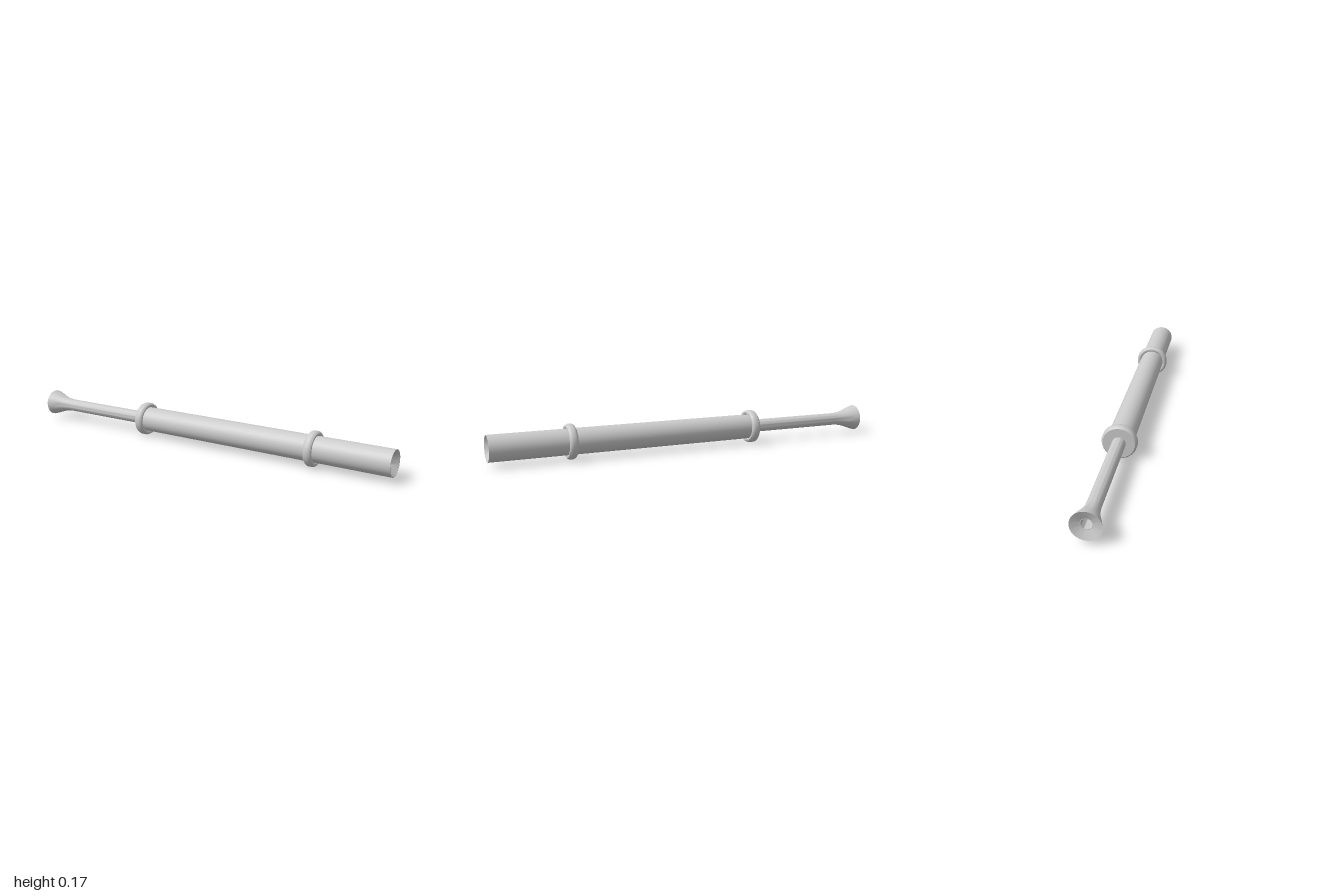
import * as THREE from 'three';
import { toCreasedNormals } from 'three/addons/utils/BufferGeometryUtils.js';

const AXIS_Y = 0.084;

export function createModel() {
  const model = new THREE.Group();
  const material = new THREE.MeshStandardMaterial({ color: 0xcccccc });

  // Turned part along x; profile is a list of [x, radius]
  function turned(name, profile, sides, phase = 0) {
    const points = profile.map(([x, r]) => new THREE.Vector2(r, x));
    const lathe = new THREE.LatheGeometry(points, sides, phase);
    const mesh = new THREE.Mesh(toCreasedNormals(lathe, 0.6), material);
    mesh.name = name;
    mesh.rotation.z = -Math.PI / 2;
    mesh.position.y = AXIS_Y;
    model.add(mesh);
  }

  // Thin stem with a flared, slightly dished end and a bore
  turned('flaredStem', [
    [-0.985, 0.027], [-1, 0.067], [-0.97, 0.058], [-0.94, 0.047],
    [-0.91, 0.038], [-0.885, 0.034], [-0.86, 0.032], [-0.34, 0.032],
  ], 32);

  // Wide barrel with a conical mouth at the right end
  turned('barrel', [
    [-0.35, 0.026], [-0.35, 0.062], [1, 0.062], [1, 0.059], [0.97, 0.024],
  ], 32);

  // Bore running through stem and barrel
  turned('bore', [[0.97, 0.024], [-0.985, 0.024], [-0.985, 0.027]], 32);

  // Collar closing the barrel where the stem enters
  turned('stemCollar', [
    [-0.358, 0.03], [-0.358, 0.075], [-0.353, 0.081], [-0.345, 0.084],
    [-0.328, 0.084], [-0.32, 0.081], [-0.315, 0.075], [-0.315, 0.067],
    [-0.322, 0.06],
  ], 20, Math.PI / 20);

  // Rounded band around the barrel
  turned('barrelBand', [
    [0.606, 0.06], [0.6, 0.067], [0.6, 0.075], [0.605, 0.081],
    [0.613, 0.084], [0.627, 0.084], [0.635, 0.081], [0.64, 0.075],
    [0.64, 0.067], [0.634, 0.06],
  ], 20, Math.PI / 20);

  return model;
}
